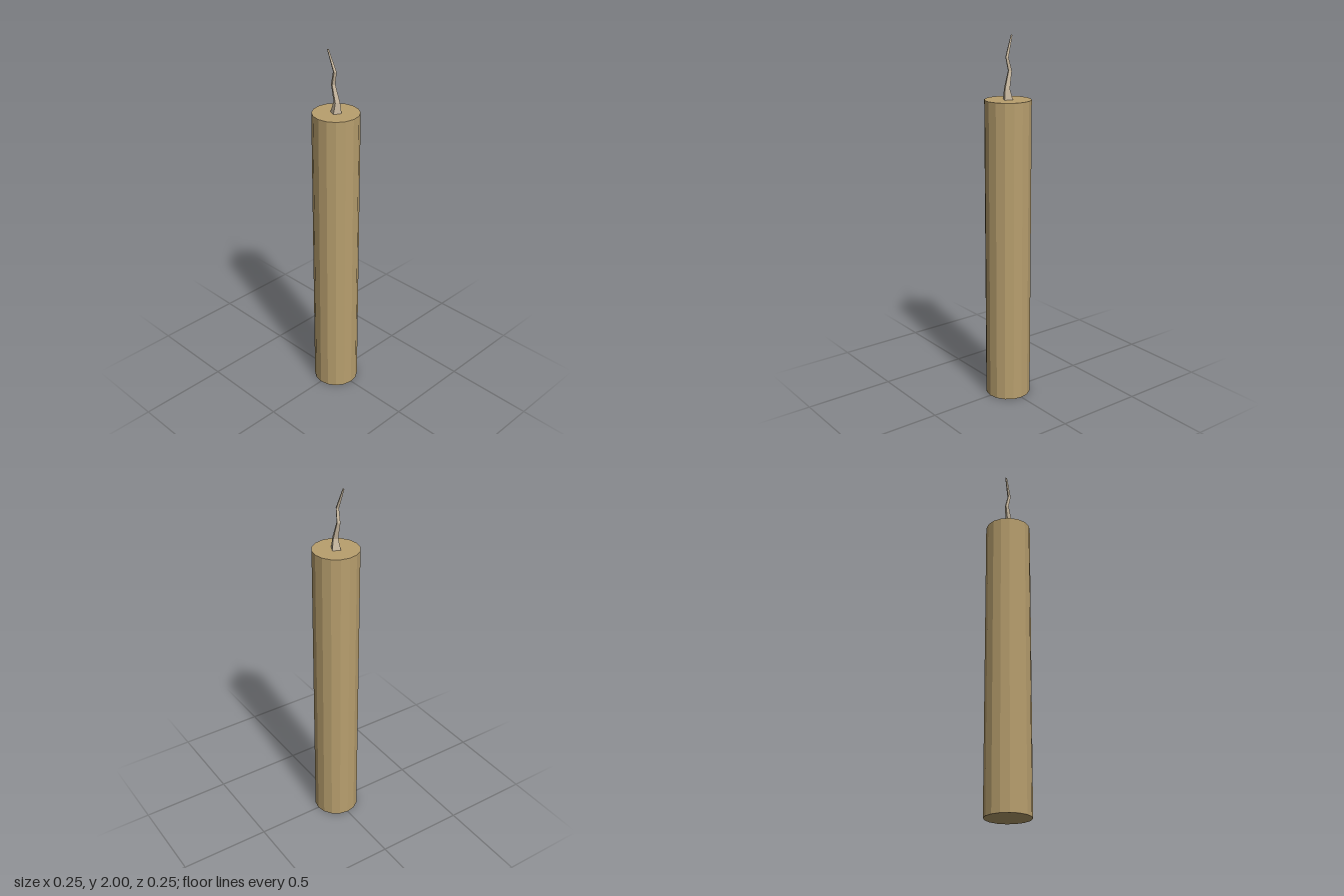
import * as THREE from 'three';

// Lofts a closed, capped tube through rings of [x, y, z, radius]
function loft(rings, sides, twist) {
  const pos = [], index = [];
  for (const [x, y, z, r] of rings) {
    for (let i = 0; i < sides; i++) {
      const a = twist + (i / sides) * Math.PI * 2;
      pos.push(x + r * Math.cos(a), y, z + r * Math.sin(a));
    }
  }
  for (let k = 0; k < rings.length - 1; k++) {
    for (let i = 0; i < sides; i++) {
      const a = k * sides + i, b = k * sides + (i + 1) % sides;
      index.push(a, a + sides, b, b, a + sides, b + sides);
    }
  }
  const top = (rings.length - 1) * sides;
  for (let i = 1; i < sides - 1; i++) {
    index.push(top, top + i + 1, top + i);
    index.push(0, i, i + 1);
  }
  const geo = new THREE.BufferGeometry();
  geo.setAttribute('position', new THREE.Float32BufferAttribute(pos, 3));
  geo.setIndex(index);
  geo.computeVertexNormals();
  return geo;
}

export function createModel() {
  const model = new THREE.Group();
  model.name = 'candle';
  const height = 1.672;

  // Sixteen-sided wax column
  const wax = new THREE.Mesh(
    new THREE.CylinderGeometry(0.125, 0.125, height, 16),
    new THREE.MeshStandardMaterial({ color: 0xb89f6e, flatShading: true })
  );
  wax.name = 'waxBody';
  wax.position.y = height / 2;
  model.add(wax);

  // Crooked four-sided wick, tapering to the tip
  const wick = new THREE.Mesh(
    loft([
      [0, height, 0, 0.031],
      [0.006, 1.73, 0, 0.018],
      [-0.016, 1.82, 0.004, 0.012],
      [0, 1.89, 0.008, 0.01],
      [-0.038, 2, 0.018, 0.005],
    ], 4, -0.35),
    new THREE.MeshStandardMaterial({ color: 0xc8b8a0, flatShading: true })
  );
  wick.name = 'wick';
  model.add(wick);

  return model;
}
